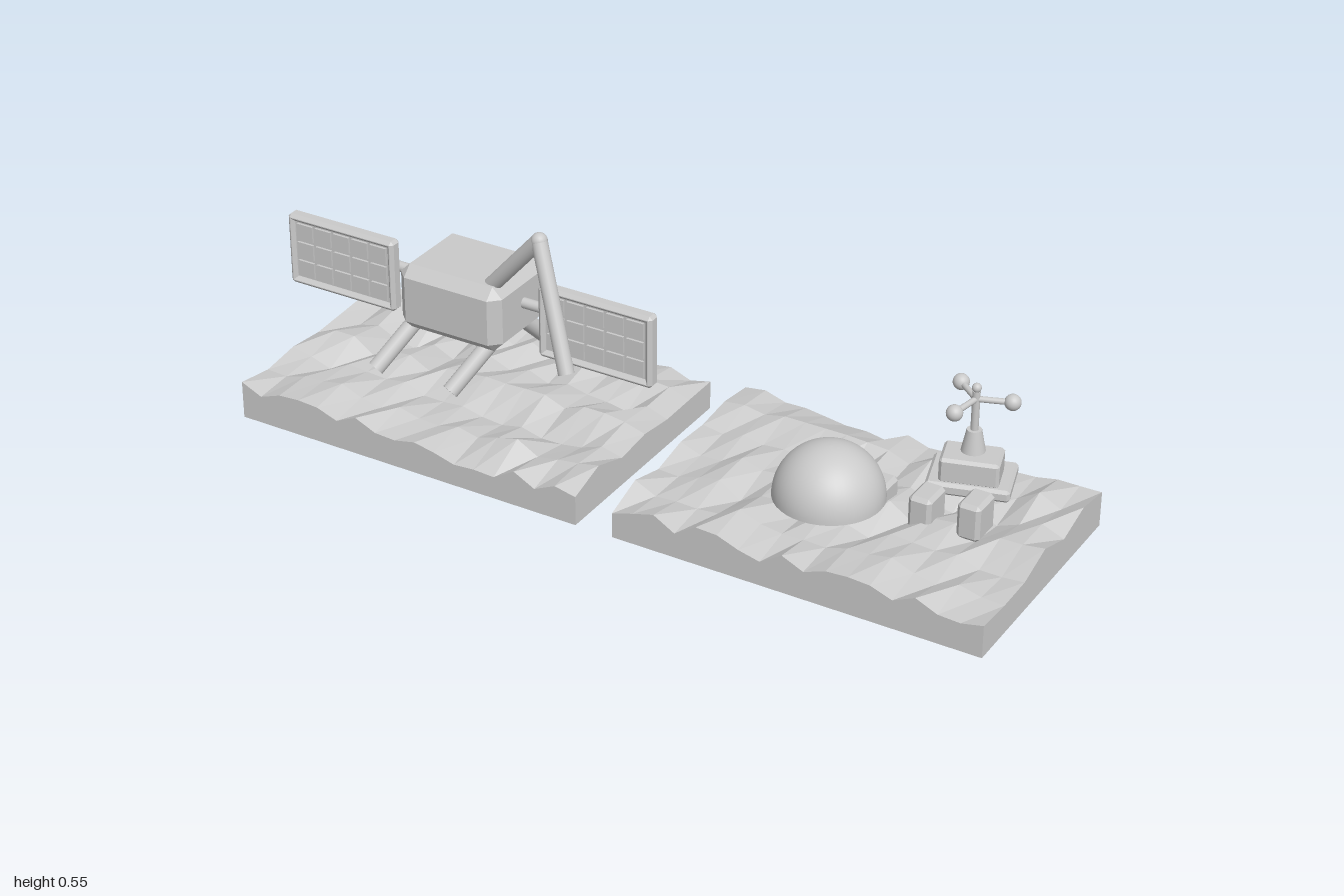
import * as THREE from 'three';
import { ConvexGeometry } from 'three/addons/geometries/ConvexGeometry.js';

const V = (x, y, z) => new THREE.Vector3(x, y, z);

export function createModel() {
  const root = new THREE.Group();
  const grey = new THREE.MeshStandardMaterial({ color: 0xcacaca });
  grey.name = 'light grey';

  const add = (name, geo, parent = root, pos = [0, 0, 0]) => {
    const m = new THREE.Mesh(geo, grey);
    m.name = name;
    m.position.set(...pos);
    parent.add(m);
    return m;
  };
  const group = (name, x, y, z) => {
    const g = new THREE.Group();
    g.name = name;
    g.position.set(x, y, z);
    root.add(g);
    return g;
  };

  // Box with all twelve edges cut off
  const chamferBox = (w, h, d, c) => {
    const pts = [], a = w / 2, b = h / 2, e = d / 2;
    for (const x of [-1, 1]) for (const y of [-1, 1]) for (const z of [-1, 1]) {
      pts.push(V(x * a, y * (b - c), z * (e - c)),
        V(x * (a - c), y * b, z * (e - c)),
        V(x * (a - c), y * (b - c), z * e));
    }
    return new ConvexGeometry(pts);
  };

  // Round bar between two points
  const bar = (name, p, q, r, parent = root) => {
    const dir = q.clone().sub(p);
    const m = add(name, new THREE.CylinderGeometry(r, r, dir.length(), 20), parent);
    m.position.copy(p).add(q).multiplyScalar(0.5);
    m.quaternion.setFromUnitVectors(V(0, 1, 0), dir.normalize());
  };

  // Two rugged ground slabs
  const hash = (i, j) => {
    const s = Math.sin(i * 127.1 + j * 311.7) * 43758.5453;
    return s - Math.floor(s);
  };
  const slab = (name, x0, x1, seed) => {
    const w = x1 - x0, nx = 17, nz = 6;
    const g = new THREE.BoxGeometry(w, 0.1, 0.6, nx, 1, nz).translate((x0 + x1) / 2, 0.05, 0);
    const p = g.attributes.position;
    for (let k = 0; k < p.count; k++) {
      if (p.getY(k) < 0.05) continue;
      const i = Math.round((p.getX(k) - x0) / w * nx);
      const j = Math.round((p.getZ(k) + 0.3) / 0.1);
      const ridge = j % 2 ? 0.008 : -0.008;
      p.setY(k, Math.min(0.105, 0.083 + ridge + 0.044 * (hash(i + seed, j) - 0.5)));
    }
    const flat = g.toNonIndexed();
    flat.computeVertexNormals();
    add(name, flat);
  };
  slab('groundLeftSlab', 0.095, 1.0, 3);
  slab('groundRightSlab', -0.92, 0.0, 11);

  // Lander body
  add('landerBody', chamferBox(0.28, 0.167, 0.228, 0.026), root, [-0.495, 0.293, -0.046]);

  // Splayed legs, front pair and back pair
  for (const [fx, fz, tx, tz] of [
    [-0.665, 0.118, -0.605, -0.01], [-0.455, 0.118, -0.395, -0.01],
    [-0.588, -0.205, -0.605, -0.09], [-0.37, -0.205, -0.395, -0.09],
  ]) bar('landerLeg', V(fx, 0.117, fz), V(tx, 0.235, tz), 0.02);

  // Folding arm
  const elbow = V(-0.25, 0.532, 0.043);
  bar('upperArm', V(-0.405, 0.36, 0.015), elbow, 0.019);
  bar('lowerArm', elbow, V(-0.135, 0.258, 0.118), 0.019);
  add('armElbow', new THREE.SphereGeometry(0.0195, 20, 14), root, elbow.toArray());

  // Solar panels with 5 x 3 cells, carried by rods behind them
  for (const side of [-1, 1]) {
    const cx = -0.495 + side * 0.353, W = 0.304, H = 0.185, t = 0.018;
    const panel = group('solarPanel', cx, 0.288, -0.027);
    add('panelPlate', new THREE.BoxGeometry(W - t, H - t, 0.014), panel);
    for (const s of [-1, 1]) {
      add('panelRail', chamferBox(W, t, 0.036, 0.008), panel, [0, s * (H - t) / 2, 0]);
      add('panelRail', chamferBox(t, H, 0.036, 0.008), panel, [s * (W - t) / 2, 0, 0]);
    }
    for (let i = 0; i < 5; i++) for (let j = 0; j < 3; j++) {
      add('solarCell', new THREE.BoxGeometry(0.045, 0.042, 0.008), panel,
        [(i - 2) * 0.053, (j - 1) * 0.049, 0.009]);
    }
    bar('panelRod', V(-0.495 + side * 0.12, 0.302, -0.048), V(cx, 0.302, -0.048), 0.013);
  }

  // Dome
  const arc = [];
  for (let i = 0; i <= 20; i++) {
    const a = i / 20 * Math.PI / 2;
    arc.push(new THREE.Vector2(0.125 * Math.cos(a), 0.125 * Math.sin(a)));
  }
  const dome = group('dome', 0.548, 0.171, 0.141);
  add('domeShell', new THREE.LatheGeometry(arc, 40), dome);
  add('domeFloor', new THREE.CircleGeometry(0.125, 40).rotateX(Math.PI / 2), dome);

  // Row of crates, sunk into the ground
  for (const [x, top] of [[0.469, 0.128], [0.594, 0.142], [0.71, 0.152], [0.827, 0.172]]) {
    add('crate', chamferBox(0.056, 0.09, 0.083, 0.009), root, [x, top - 0.045, -0.012]);
  }

  // Weather station on a turned base
  const station = group('weatherStation', 0.745, 0, -0.163);
  const base = new THREE.Group();
  base.name = 'stationBase';
  base.rotation.y = 0.29;
  station.add(base);
  add('basePlate', chamferBox(0.19, 0.03, 0.137, 0.007), base, [0, 0.117, 0]);
  add('baseBox', chamferBox(0.135, 0.062, 0.09, 0.007), base, [0, 0.157, 0.012]);
  add('mastFoot', new THREE.CylinderGeometry(0.017, 0.028, 0.055, 24), station, [0, 0.214, 0]);
  add('mast', new THREE.CylinderGeometry(0.009, 0.009, 0.1, 16), station, [0, 0.288, 0]);
  add('mastBall', new THREE.SphereGeometry(0.011, 20, 14), station, [0, 0.346, 0]);
  for (let k = 0; k < 3; k++) {
    const a = (-10 + 120 * k) * Math.PI / 180;
    const end = V(0.08 * Math.sin(a), 0.318, 0.08 * Math.cos(a));
    bar('windArm', V(0, 0.318, 0), end, 0.007, station);
    add('windBall', new THREE.SphereGeometry(0.019, 24, 16), station, end.toArray());
  }
  return root;
}
